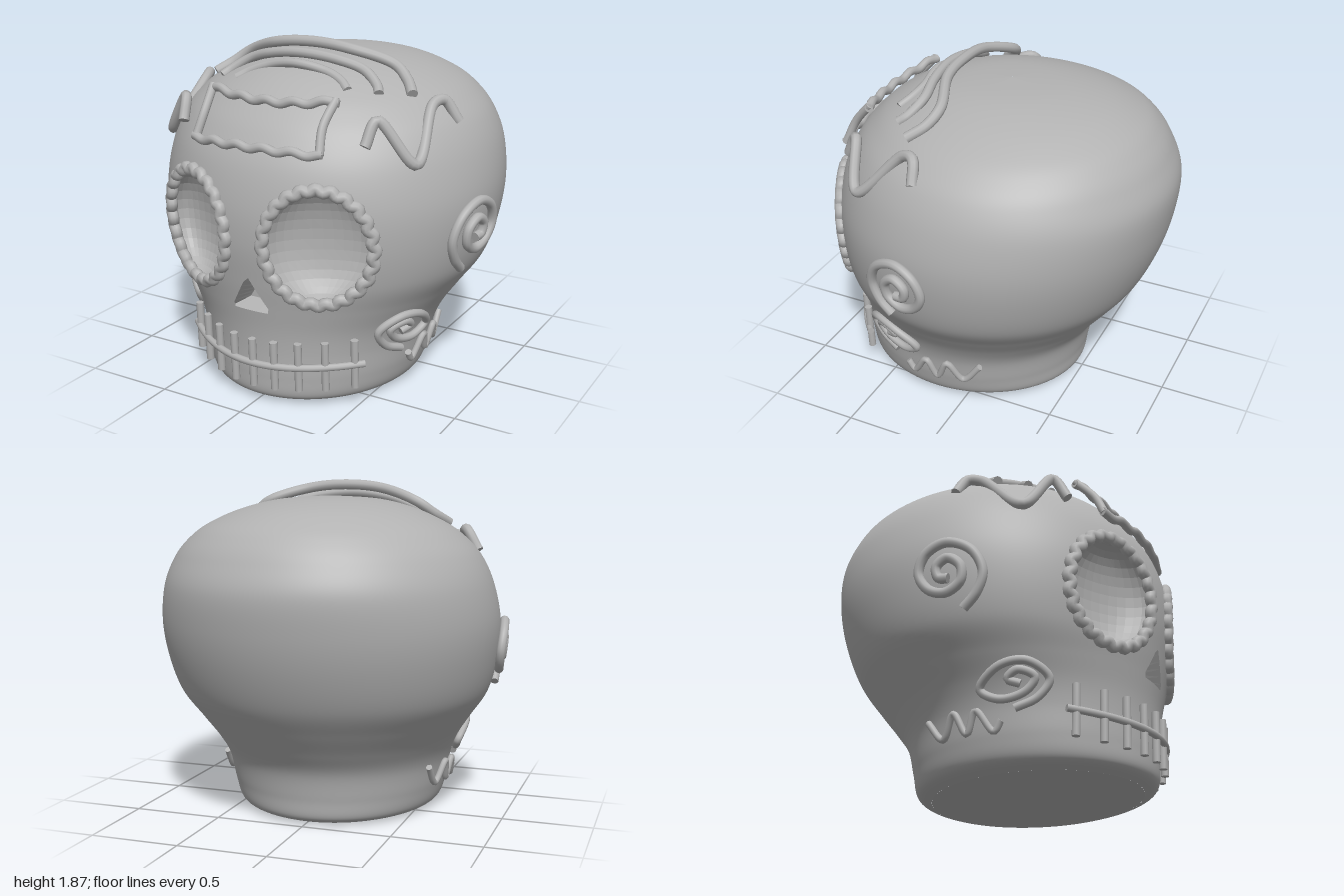
import * as THREE from 'three';

const V = (x, y, z) => new THREE.Vector3(x, y, z);

// Head profile: height, half width, front z, back z
const PROFILE = [
  [0, 0.50, 0.76, -0.40], [0.04, 0.58, 0.83, -0.475], [0.15, 0.62, 0.845, -0.495],
  [0.3, 0.65, 0.85, -0.53], [0.42, 0.70, 0.86, -0.61], [0.55, 0.785, 0.88, -0.71],
  [0.7, 0.885, 0.905, -0.815], [0.9, 0.94, 0.93, -0.9], [1.1, 0.955, 0.925, -0.95],
  [1.3, 0.92, 0.88, -0.965], [1.45, 0.855, 0.80, -0.91], [1.55, 0.77, 0.715, -0.845],
  [1.63, 0.66, 0.62, -0.755], [1.71, 0.48, 0.47, -0.58], [1.762, 0.27, 0.26, -0.33],
  [1.78, 0.001, -0.03, -0.032],
];
const ROWS = 128, SEGMENTS = 240;
const heightWidth = new THREE.SplineCurve(PROFILE.map((p) => new THREE.Vector2(p[0], p[1])));
const frontBack = new THREE.SplineCurve(PROFILE.map((p) => new THREE.Vector2(p[2], p[3])));
const sections = [];
for (let i = 0; i <= ROWS; i++) {
  const a = heightWidth.getPoint(i / ROWS), b = frontBack.getPoint(i / ROWS);
  sections.push({ y: a.x, w: a.y, c: (b.x + b.y) / 2, d: (b.x - b.y) / 2 });
}

// Section at any height, and surface position seen from the front or the side
function sectionAt(y) {
  let i = 0;
  while (i < ROWS - 1 && sections[i + 1].y < y) i++;
  const a = sections[i], b = sections[i + 1];
  const t = THREE.MathUtils.clamp((y - a.y) / (b.y - a.y), 0, 1);
  return { w: a.w + (b.w - a.w) * t, c: a.c + (b.c - a.c) * t, d: a.d + (b.d - a.d) * t };
}
function frontZ(x, y) {
  const s = sectionAt(y);
  return s.c + s.d * Math.sqrt(Math.max(0, 1 - (x / s.w) ** 2));
}
function sideX(y, z) {
  const s = sectionAt(y);
  return s.w * Math.sqrt(Math.max(0, 1 - ((z - s.c) / s.d) ** 2));
}

// Openings in the head
const EYE = { x: 0.37, y: 0.92, rx: 0.25, ry: 0.29 };
const NOSE = [[-0.122, 0.53], [0.122, 0.53], [0, 0.735]];

// Returns the border point for a point inside an opening, else null
function snapToOpening(x, y) {
  const u = (Math.abs(x) - EYE.x) / EYE.rx, v = (y - EYE.y) / EYE.ry, r = Math.hypot(u, v);
  if (r < 1) {
    const k = 1 / Math.max(r, 1e-4);
    return [Math.sign(x) * (EYE.x + u * k * EYE.rx), EYE.y + v * k * EYE.ry];
  }
  let best = Infinity, point = null;
  for (let i = 0; i < 3; i++) {
    const [ax, ay] = NOSE[i], [bx, by] = NOSE[(i + 1) % 3];
    const l = Math.hypot(bx - ax, by - ay), dx = (bx - ax) / l, dy = (by - ay) / l;
    const dist = dx * (y - ay) - dy * (x - ax);
    if (dist <= 0) return null;
    if (dist < best) { best = dist; point = [x + dy * dist, y - dx * dist]; }
  }
  return point;
}

function headGeometry() {
  const pos = [], inside = [], index = [];
  for (const s of sections) {
    for (let j = 0; j < SEGMENTS; j++) {
      const a = (j / SEGMENTS) * Math.PI * 2;
      const x = s.w * Math.sin(a), z = s.c + s.d * Math.cos(a);
      const hit = z > 0.3 ? snapToOpening(x, s.y) : null;
      inside.push(!!hit);
      if (hit) pos.push(hit[0], hit[1], frontZ(hit[0], hit[1]));
      else pos.push(x, s.y, z);
    }
  }
  const face = (a, b, c) => { if (!(inside[a] && inside[b] && inside[c])) index.push(a, b, c); };
  for (let i = 0; i < ROWS; i++) {
    for (let j = 0; j < SEGMENTS; j++) {
      const k = (j + 1) % SEGMENTS, r = i * SEGMENTS, q = r + SEGMENTS;
      face(r + j, r + k, q + k);
      face(r + j, q + k, q + j);
    }
  }
  const g = new THREE.BufferGeometry();
  g.setAttribute('position', new THREE.Float32BufferAttribute(pos, 3));
  g.setIndex(index);
  g.computeVertexNormals();
  return g;
}

// Hollow bowl of an eye socket, facing forward
function socketGeometry(side) {
  const g = new THREE.SphereGeometry(1, 16, 16, 0, Math.PI), p = g.attributes.position;
  for (let i = 0; i < p.count; i++) {
    const x = side * EYE.x + p.getX(i) * EYE.rx, y = EYE.y + p.getY(i) * EYE.ry;
    p.setXYZ(i, x, y, frontZ(x, y) - 0.2 * Math.max(0, p.getZ(i)));
  }
  g.computeVertexNormals();
  return g;
}

// Tapered walls and floor of the nose opening
function noseGeometry() {
  const pos = [], steps = 6, depth = 0.12;
  const inner = ([x, y]) => V(x * 0.6, 0.6 + (y - 0.6) * 0.6, frontZ(0, 0.6) - depth);
  const outer = ([x, y]) => V(x, y, frontZ(x, y));
  const add = (...pts) => pts.forEach((v) => pos.push(v.x, v.y, v.z));
  for (let e = 0; e < 3; e++) {
    const a = NOSE[e], b = NOSE[(e + 1) % 3];
    const at = (t) => [a[0] + (b[0] - a[0]) * t, a[1] + (b[1] - a[1]) * t];
    for (let i = 0; i < steps; i++) {
      const p = at(i / steps), q = at((i + 1) / steps);
      add(outer(p), outer(q), inner(q), outer(p), inner(q), inner(p));
    }
  }
  add(...NOSE.map(inner));
  const g = new THREE.BufferGeometry();
  g.setAttribute('position', new THREE.Float32BufferAttribute(pos, 3));
  g.computeVertexNormals();
  return g;
}

export function createModel() {
  const model = new THREE.Group();
  const grey = new THREE.MeshStandardMaterial({ color: 0xb2b2b2 });
  grey.name = 'clayGrey';
  const facetGrey = grey.clone();
  facetGrey.flatShading = true;

  const add = (name, geometry, material = grey, parent = model) => {
    const m = new THREE.Mesh(geometry, material);
    m.name = name;
    parent.add(m);
    return m;
  };

  // Round cord along points, with flat ends when open
  function cord(name, points, radius, closed = false) {
    const group = new THREE.Group();
    group.name = name;
    model.add(group);
    const curve = new THREE.CatmullRomCurve3(points, closed);
    const steps = points.length > 30 ? points.length : points.length * 9;
    add(name + 'Tube', new THREE.TubeGeometry(curve, steps, radius, 10, closed), grey, group);
    if (closed) return;
    for (const t of [0, 1]) {
      const cap = add(name + 'End', new THREE.CircleGeometry(radius, 10), grey, group);
      cap.position.copy(curve.getPoint(t));
      const out = curve.getTangent(t).multiplyScalar(t ? 1 : -1);
      cap.quaternion.setFromUnitVectors(V(0, 0, 1), out);
    }
  }

  // Head and flat underside
  add('head', headGeometry());
  const base = add('base', new THREE.CircleGeometry(1, 80));
  base.rotation.x = Math.PI / 2;
  base.scale.set(0.5, 0.58, 1);
  base.position.z = 0.18;
  add('noseOpening', noseGeometry(), facetGrey);

  // [z, y] paths laid on the sides of the head
  const templeSpiral = [[0.25, 0.73], [0.32, 0.80], [0.36, 0.91], [0.31, 1.03], [0.18, 1.09],
    [0.07, 1.04], [0.03, 0.94], [0.08, 0.85], [0.17, 0.82], [0.25, 0.87], [0.255, 0.95],
    [0.19, 1.0], [0.13, 0.96], [0.14, 0.9], [0.19, 0.89]];
  const cheekSpiral = [[0.39, 0.27], [0.50, 0.32], [0.56, 0.41], [0.48, 0.49], [0.345, 0.47],
    [0.23, 0.375], [0.32, 0.32], [0.45, 0.35], [0.50, 0.415], [0.43, 0.45], [0.375, 0.41], [0.43, 0.385]];
  const jawZigzag = [[0.32, 0.215], [0.28, 0.165], [0.19, 0.28], [0.13, 0.175], [0.06, 0.29],
    [-0.02, 0.18], [-0.12, 0.29]];
  const browZigzag = [[0.55, 1.43, 0.67], [0.58, 1.55, 0.60], [0.75, 1.33, 0.51],
    [0.71, 1.58, 0.24], [0.74, 1.59, 0.17], [0.81, 1.48, 0.14]];

  for (const side of [1, -1]) {
    const name = side > 0 ? 'left' : 'right';
    const onSide = (lift) => ([z, y]) => V(side * (sideX(y, z) + lift), y, z);

    // Eye socket with scalloped rim
    add(name + 'EyeSocket', socketGeometry(side), facetGrey);
    const rim = [];
    for (let i = 0; i < 192; i++) {
      const a = (i / 192) * Math.PI * 2, wave = 0.009 * Math.cos(a * 24);
      const x = side * (EYE.x + (0.258 + wave) * Math.cos(a)), y = EYE.y + (0.306 + wave) * Math.sin(a);
      rim.push(V(x, y, frontZ(x, y) + 0.008));
    }
    cord(name + 'EyeRim', rim, 0.031, true);

    cord(name + 'TempleSpiral', templeSpiral.map(onSide(0.022)), 0.026);
    cord(name + 'CheekSpiral', cheekSpiral.map(onSide(0.02)), 0.022);
    cord(name + 'JawZigzag', jawZigzag.map(onSide(0.02)), 0.018);
    cord(name + 'BrowZigzag', browZigzag.map(([x, y, z]) => V(side * x, y, z)), 0.029);

    // Upright edge of the forehead frame
    cord(name + 'FrameSide', [V(side * 0.37, 1.395, 0.80), V(side * 0.355, 1.52, 0.74),
      V(side * 0.37, 1.64, 0.635)], 0.023);
  }

  // Wavy top and bottom edges of the forehead frame
  for (const [name, y, sag, z, phase] of [['frameTop', 1.635, -0.03, 0.70, 1], ['frameBottom', 1.39, 0.012, 0.86, -1]]) {
    const pts = [];
    for (let i = 0; i <= 80; i++) {
      const u = i / 40 - 1;
      pts.push(V(u * 0.385, y + sag * (1 - u * u) + 0.009 * phase * Math.cos(u * Math.PI * 5), z - 0.065 * u * u));
    }
    cord(name, pts, 0.024);
  }

  // Three arches over the crown, given as right halves
  const arches = [
    [[0.61, 1.625, 0.28], [0.54, 1.68, 0.20], [0.45, 1.745, 0.165], [0.22, 1.82, 0.24], [0, 1.84, 0.25]],
    [[0.48, 1.635, 0.40], [0.45, 1.665, 0.36], [0.35, 1.73, 0.315], [0.2, 1.775, 0.335], [0, 1.795, 0.35]],
    [[0.34, 1.65, 0.47], [0.28, 1.685, 0.43], [0.18, 1.72, 0.405], [0, 1.75, 0.42]],
  ];
  arches.forEach((half, i) => {
    const left = half.slice(0, -1).map(([x, y, z]) => V(-x, y, z));
    const right = half.map(([x, y, z]) => V(x, y, z)).reverse();
    cord('crownArch' + (i + 1), [...left, ...right], 0.029 - i * 0.002);
  });

  // Mouth line and tooth bars
  const mouth = [];
  for (let i = 0; i <= 16; i++) {
    const x = (i / 8 - 1) * 0.54, y = 0.235 + 0.07 * x * x;
    mouth.push(V(x, y, Math.max(frontZ(x, y) + 0.022, 0.88 - 0.86 * x * x)));
  }
  cord('mouthLine', mouth, 0.019);
  for (let i = -4; i <= 4; i++) {
    const x = i * 0.124, lift = 0.02 * (i / 4) ** 2, z = Math.max(frontZ(x, 0.25) + 0.018, 0.87 - 0.86 * x * x);
    cord('tooth' + (i + 5), [V(x, 0.1 + lift, z - 0.005), V(x, 0.24, z), V(x, 0.37 + lift, z + 0.005)], 0.021);
  }
  return model;
}
